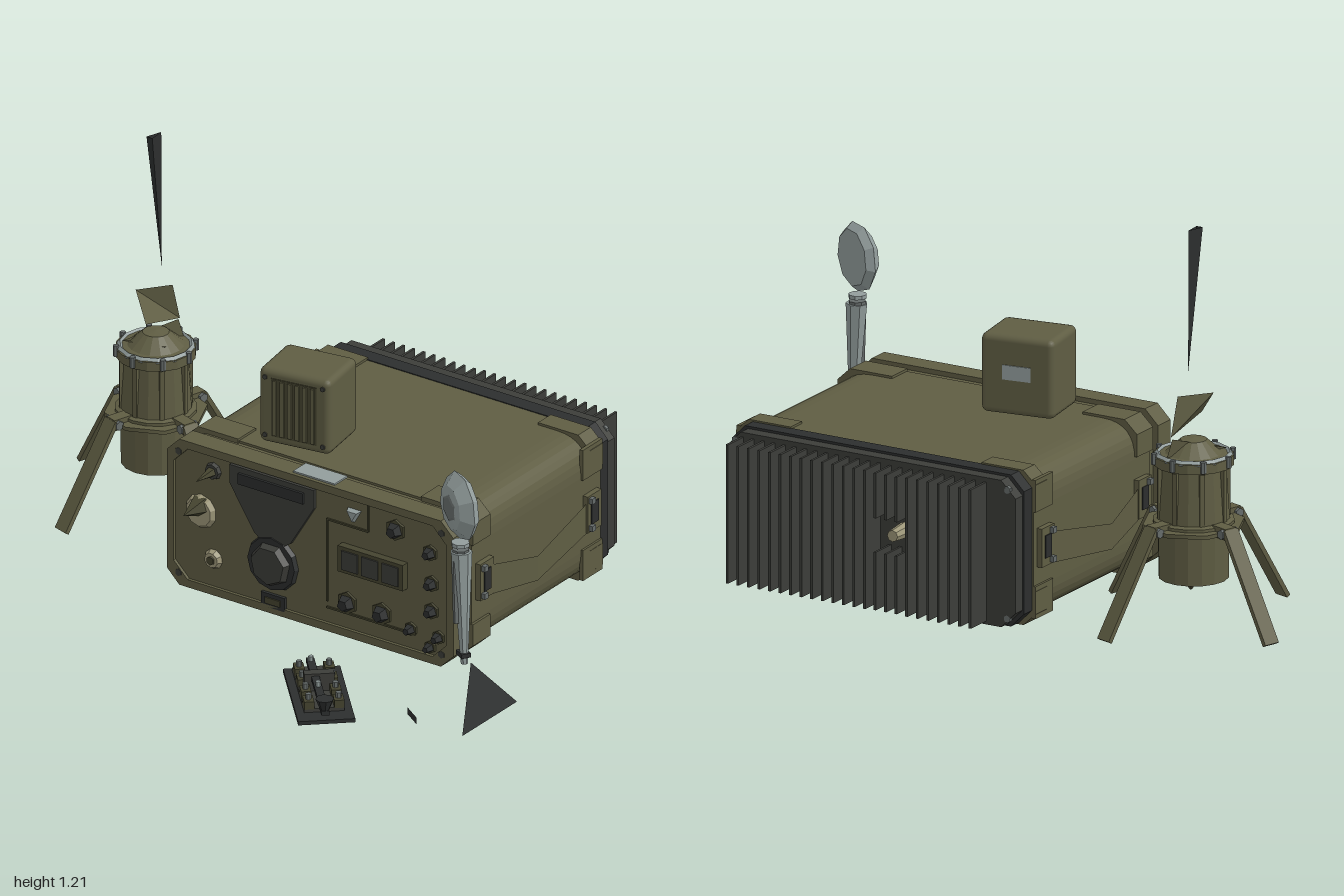
import * as THREE from 'three';
import { RoundedBoxGeometry } from 'three/addons/geometries/RoundedBoxGeometry.js';

const mat = (name, color, extra = {}) => {
  const m = new THREE.MeshStandardMaterial({ color, ...extra });
  m.name = name;
  return m;
};

export function createModel() {
  const flat = { flatShading: true };
  const M = {
    olive: mat('olive', 0x5f5d43),
    sheet: mat('olive sheet', 0x5f5d43, { side: THREE.DoubleSide, ...flat }),
    shade: mat('dark olive', 0x45442f, flat),
    fin: mat('fin grey', 0x3c3d39, flat),
    dark: mat('charcoal', 0x2c2e2e, { side: THREE.DoubleSide, ...flat }),
    steel: mat('light steel', 0x929d9c, flat),
    mid: mat('mid grey', 0x666c6b, flat),
    beige: mat('beige', 0x9d9779, flat),
  };
  const root = new THREE.Group();
  const group = (name, x = 0, y = 0, z = 0, ry = 0) => {
    const g = new THREE.Group();
    g.name = name;
    g.position.set(x, y, z);
    g.rotation.y = ry;
    root.add(g);
    return g;
  };
  const add = (parent, name, geo, m, x = 0, y = 0, z = 0) => {
    const mesh = new THREE.Mesh(geo, m);
    mesh.name = name;
    mesh.position.set(x, y, z);
    parent.add(mesh);
    return mesh;
  };
  const box = (p, name, m, w, h, d, x, y, z) => add(p, name, new THREE.BoxGeometry(w, h, d), m, x, y, z);
  const cyl = (p, name, m, rt, rb, h, n, x, y, z) => add(p, name, new THREE.CylinderGeometry(rt, rb, h, n), m, x, y, z);
  // cylinder whose axis points to +z, back end at z
  const plug = (p, name, m, rFront, rBack, d, n, x, y, z) => {
    const c = cyl(p, name, m, rFront, rBack, d, n, x, y, z + d / 2);
    c.rotation.x = Math.PI / 2;
    return c;
  };
  // chamfered or rounded rectangle, traced counter-clockwise
  const outline = (w, h, c, round = false, S = THREE.Shape) => {
    const s = new S(), a = w / 2, b = h / 2;
    const corner = (cx, cy, x, y) => (round ? s.quadraticCurveTo(cx, cy, x, y) : s.lineTo(x, y));
    s.moveTo(-a + c, -b);
    s.lineTo(a - c, -b); corner(a, -b, a, -b + c);
    s.lineTo(a, b - c); corner(a, b, a - c, b);
    s.lineTo(-a + c, b); corner(-a, b, -a, b - c);
    s.lineTo(-a, -b + c); corner(-a, -b, -a + c, -b);
    return s;
  };
  const extrude = (shape, depth) => new THREE.ExtrudeGeometry(shape, { depth, bevelEnabled: false, curveSegments: 8 });
  const poly = pts => new THREE.Shape(pts.map(p => new THREE.Vector2(...p)));
  // open sheet fanned from its first corner
  const sheet = (p, name, m, pts) => {
    const g = new THREE.BufferGeometry();
    g.setAttribute('position', new THREE.Float32BufferAttribute(pts.flat(), 3));
    const idx = [];
    for (let i = 1; i < pts.length - 1; i++) idx.push(0, i, i + 1);
    g.setIndex(idx);
    g.computeVertexNormals();
    return add(p, name, g, m);
  };

  // radio case
  const CX = 0.2, CY = 0.25;
  const radio = group('radio', CX, CY, 0);
  add(radio, 'case', extrude(outline(1.02, 0.465, 0.11, true), 0.66), M.olive, 0, 0, -0.575);
  add(radio, 'frontBezel', extrude(outline(1.0, 0.45, 0.05), 0.05), M.olive, 0, 0, 0.07);
  const rim = outline(1.035, 0.48, 0.045);
  add(radio, 'frontFrame', extrude(rim, 0.06), M.olive, 0, 0, 0.12);
  const lip = outline(1.035, 0.48, 0.045);
  lip.holes.push(outline(0.985, 0.43, 0.05, false, THREE.Path));
  add(radio, 'frontLip', extrude(lip, 0.01), M.olive, 0, 0, 0.18);
  box(radio, 'topPlate', M.steel, 0.15, 0.006, 0.065, 0.005, 0.242, 0.145);
  for (const sx of [-1, 1]) for (const sy of [-1, 1]) {
    // corner guards wrap the case edges front and back
    for (const [z, d] of [[-0.575, 0.065], [0.0, 0.09]]) {
      const pts = [[0.33, 0.225], [0.33, 0.24], [0.475, 0.24], [0.518, 0.2], [0.518, 0.13], [0.5, 0.13], [0.47, 0.19]];
      const s = poly(pts.map(([x, y]) => [x * sx, y * sy]));
      add(radio, 'cornerGuard', extrude(s, d), M.olive, 0, 0, z);
    }
    box(radio, 'guardPlate', M.olive, 0.012, 0.1, 0.1, sx * 0.511, sy * 0.165, -0.525);
    plug(radio, 'frameBolt', M.fin, 0.012, 0.012, 0.012, 6, sx * 0.475, sy * 0.2, 0.18);
    plug(radio, 'rearBolt', M.mid, 0.012, 0.012, 0.012, 6, sx * 0.47, sy * 0.2, -0.66);
  }
  for (const x of [-0.35, 0.35]) for (const z of [-0.14, -0.35])
    box(radio, 'foot', M.shade, 0.08, 0.02, 0.045, x, -0.24, z);

  // side straps with buckles
  for (const [s, bulge, mid] of [[-1, 0.06, -0.24], [1, 0.045, -0.18]]) {
    const x0 = s * 0.517, x1 = s * (0.517 + bulge);
    const ends = [0.03, -0.52];
    for (const z of ends) {
      sheet(radio, 'strap', M.sheet, [[x0, -0.06, z], [x1, -0.08, mid], [x1, 0.0, mid], [x0, 0.04, z]]);
      box(radio, 'buckle', M.olive, 0.025, 0.12, 0.07, s * 0.515, 0, z);
      box(radio, 'buckleSlot', M.dark, 0.01, 0.07, 0.035, s * 0.526, 0, z);
      for (const y of [-0.045, 0.045]) box(radio, 'buckleBolt', M.mid, 0.02, 0.018, 0.018, s * 0.53, y, z + 0.02);
    }
  }

  // rear heat sink
  add(radio, 'rearFrame', extrude(outline(1.01, 0.47, 0.045), 0.05), M.dark, 0, 0, -0.62);
  add(radio, 'rearPlate', extrude(outline(1.0, 0.455, 0.05), 0.04), M.fin, 0, 0, -0.66);
  for (let i = 0; i < 24; i++) {
    const x = -0.395 + i * 0.0365;
    if (i > 6 && i < 10) {
      for (const y of [-0.125, 0.14]) box(radio, 'fin', M.fin, 0.008, y < 0 ? 0.18 : 0.14, 0.095, x, y, -0.7);
    } else box(radio, 'fin', M.fin, 0.008, 0.43, 0.095, x, -0.002, -0.7);
  }
  plug(radio, 'rearValve', M.beige, 0.025, 0.018, 0.075, 8, -0.12, 0.02, -0.735);

  // front controls, placed in world x and y
  const panel = group('controls', 0, 0, 0.18);
  add(panel, 'dialHood', extrude(poly([[-0.09, 0.46], [-0.09, 0.4], [0.0, 0.26], [0.03, 0.24], [0.1, 0.24], [0.13, 0.26], [0.215, 0.4], [0.215, 0.46]]), 0.012), M.fin);
  box(panel, 'hoodSlot', M.dark, 0.235, 0.035, 0.02, 0.063, 0.425, 0.01);
  plug(panel, 'dialRing', M.dark, 0.085, 0.09, 0.015, 12, 0.062, 0.175, 0);
  plug(panel, 'dialKnob', M.fin, 0.06, 0.075, 0.03, 7, 0.062, 0.175, 0.005);
  box(panel, 'switchFrame', M.dark, 0.085, 0.045, 0.012, 0.065, 0.05, 0.004);
  box(panel, 'switchKey', M.shade, 0.055, 0.02, 0.012, 0.065, 0.05, 0.008);
  // raised sub panel edges
  const strip = (w, h, x, y) => box(panel, 'panelEdge', M.shade, w, h, 0.006, x, y, 0.002);
  strip(0.006, 0.27, 0.257, 0.24);
  strip(0.15, 0.006, 0.33, 0.375);
  strip(0.006, 0.09, 0.405, 0.42);
  strip(0.32, 0.006, 0.415, 0.085);
  // three display windows
  box(panel, 'displayFrame', M.shade, 0.235, 0.085, 0.03, 0.428, 0.27, 0.01);
  for (let i = 0; i < 3; i++) box(panel, 'displayWindow', M.fin, 0.058, 0.062, 0.008, 0.355 + i * 0.073, 0.27, 0.026);
  // antenna and cable sockets
  plug(panel, 'largeSocket', M.beige, 0.045, 0.055, 0.015, 10, -0.2, 0.27, 0);
  plug(panel, 'socketSpike', M.shade, 0.001, 0.035, 0.085, 5, -0.2, 0.29, 0.005);
  plug(panel, 'upperSocket', M.fin, 0.024, 0.028, 0.012, 8, -0.155, 0.415, 0);
  plug(panel, 'socketSpike', M.shade, 0.001, 0.018, 0.085, 5, -0.155, 0.415, 0.003);
  plug(panel, 'lowerSocket', M.beige, 0.024, 0.032, 0.015, 9, -0.155, 0.125, 0);
  plug(panel, 'lowerSocketCore', M.shade, 0.014, 0.014, 0.008, 6, -0.155, 0.125, 0.012);
  plug(panel, 'lampCover', M.steel, 0.02, 0.028, 0.018, 3, 0.355, 0.42, 0);
  // knobs
  const knobs = [[0.505, 0.41, 0.034], [0.33, 0.12, 0.036], [0.455, 0.12, 0.036], [0.63, 0.37, 0.026],
    [0.635, 0.27, 0.026], [0.635, 0.18, 0.026], [0.66, 0.1, 0.022], [0.56, 0.1, 0.022], [0.63, 0.06, 0.02]];
  for (const [x, y, r] of knobs) {
    plug(panel, 'knobBase', M.shade, r, r, 0.008, 6, x, y, 0);
    plug(panel, 'knob', M.dark, r * 0.5, r * 0.8, 0.026, 5, x, y, 0.006);
  }

  // speaker on the roof
  const speaker = group('speaker', 0.028, 0.612, -0.045, 0.15);
  add(speaker, 'speakerCase', new RoundedBoxGeometry(0.235, 0.245, 0.19, 2, 0.02), M.olive);
  box(speaker, 'grille', M.shade, 0.15, 0.19, 0.006, 0, 0, 0.094);
  for (let i = 0; i < 6; i++) box(speaker, 'slat', M.olive, 0.013, 0.18, 0.008, -0.0625 + i * 0.025, 0, 0.098);
  for (const x of [-0.095, 0.095]) for (const y of [-0.095, 0.095])
    plug(speaker, 'speakerBolt', M.fin, 0.008, 0.008, 0.006, 6, x, y, 0.093);
  box(speaker, 'backLabel', M.steel, 0.09, 0.045, 0.006, 0, 0.01, -0.095);

  // antenna mast base
  const mast = group('antennaBase', -0.66, 0, -0.24);
  const profile = [[0, 0.14], [0.08, 0.14], [0.085, 0.13], [0.105, 0.135], [0.107, 0.29], [0.122, 0.292],
    [0.122, 0.315], [0.108, 0.32], [0.098, 0.48], [0.12, 0.485], [0.12, 0.515], [0.085, 0.52], [0.04, 0.56], [0, 0.565]];
  add(mast, 'mastBody', new THREE.LatheGeometry(profile.map(p => new THREE.Vector2(...p)), 16), M.sheet);
  const ring = add(mast, 'topRing', new THREE.TorusGeometry(0.108, 0.012, 4, 14), M.steel, 0, 0.512, 0);
  ring.rotation.x = Math.PI / 2;
  cyl(mast, 'collar', M.olive, 0.155, 0.155, 0.012, 8, 0, 0.3, 0);
  cyl(mast, 'cablePlug', M.shade, 0.03, 0.004, 0.045, 5, 0.01, 0.115, 0);
  for (let i = 0; i < 8; i++) {
    const a = i * Math.PI / 4;
    cyl(mast, 'ringBolt', M.mid, 0.009, 0.009, 0.035, 6, Math.cos(a) * 0.12, 0.507, Math.sin(a) * 0.12);
    const rib = box(mast, 'rib', M.olive, 0.012, 0.16, 0.015, Math.cos(a) * 0.104, 0.4, Math.sin(a) * 0.104);
    rib.rotation.y = -a;
  }
  // four folding legs
  for (let i = 0; i < 4; i++) {
    const pivot = new THREE.Group();
    pivot.name = 'legAssembly';
    pivot.rotation.y = -0.31 + i * Math.PI / 2;
    mast.add(pivot);
    box(pivot, 'legLug', M.olive, 0.075, 0.035, 0.04, 0.13, 0.305, 0);
    cyl(pivot, 'legPin', M.mid, 0.015, 0.015, 0.06, 6, 0.155, 0.305, 0).rotation.x = Math.PI / 2;
    const len = Math.hypot(0.185, 0.31);
    const leg = box(pivot, 'leg', M.olive, 0.014, len, 0.052, 0.256, 0.161, 0);
    leg.rotation.z = Math.atan2(0.185, 0.31);
  }
  // spring remnants and whip
  const whip = group('whip');
  sheet(whip, 'springLower', M.sheet, [[-0.74, 0.53, -0.18], [-0.6, 0.54, -0.2], [-0.62, 0.51, -0.33], [-0.635, 0.575, -0.32]]);
  sheet(whip, 'springUpper', M.sheet, [[-0.705, 0.7, -0.2], [-0.635, 0.7, -0.29], [-0.63, 0.58, -0.32], [-0.64, 0.62, -0.16]]);
  const top = [[-0.673, 1.21, -0.21], [-0.652, 1.21, -0.21], [-0.655, 1.21, -0.26]], tip = [-0.653, 0.77, -0.26];
  for (let i = 0; i < 3; i++) sheet(whip, 'whipFace', M.dark, [top[i], top[(i + 1) % 3], tip]);

  // hand microphone
  const mic = group('microphone', 0.893, 0.69, 0.405, -0.52);
  const headPts = [[0, -0.022], [0.088, -0.022], [0.107, 0], [0.07, 0.032], [0.04, 0.036], [0, 0.03]];
  const head = add(mic, 'micHead', new THREE.LatheGeometry(headPts.map(p => new THREE.Vector2(...p)), 9), M.steel);
  head.rotation.x = Math.PI / 2;
  plug(mic, 'micGrille', M.mid, 0.035, 0.055, 0.008, 6, 0, 0, 0.031);
  cyl(mic, 'neckRing', M.steel, 0.028, 0.028, 0.012, 8, 0.004, -0.122, 0);
  cyl(mic, 'neckRing', M.mid, 0.026, 0.026, 0.01, 8, 0.006, -0.142, 0);
  const grip = cyl(mic, 'grip', M.steel, 0.033, 0.011, 0.36, 7, 0.02, -0.325, 0);
  grip.rotation.z = 0.06;
  box(mic, 'talkKey', M.mid, 0.014, 0.2, 0.012, 0.018, -0.27, 0.024).rotation.z = 0.06;
  box(mic, 'cableEnd', M.dark, 0.04, 0.014, 0.03, 0.025, -0.475, 0);

  // cable remnants
  const cable = group('cable');
  const apex = [0.915, 0.17, 0.38], base = [[0.99, 0.01, 0.25], [0.99, 0.01, 0.53], [0.955, 0.015, 0.4]];
  for (let i = 0; i < 3; i++) sheet(cable, 'cableFan', M.dark, [apex, base[i], base[(i + 1) % 3]]);
  sheet(cable, 'cableScrap', M.dark, [[0.785, 0.02, 0.52], [0.845, 0.02, 0.56], [0.845, 0.042, 0.56], [0.785, 0.042, 0.52]]);

  // telegraph key
  const key = group('telegraphKey', 0.485, 0, 0.547, -0.83);
  box(key, 'keyBase', M.dark, 0.355, 0.012, 0.17, 0, 0.006, 0);
  box(key, 'keyBed', M.fin, 0.28, 0.012, 0.12, -0.02, 0.018, 0);
  for (const x of [-0.12, -0.05, 0.03, 0.1]) for (const z of [-0.045, 0.045]) {
    box(key, 'terminalBlock', M.shade, 0.045, 0.025, 0.03, x, 0.035, z);
    cyl(key, 'terminalScrew', M.mid, 0.009, 0.009, 0.02, 6, x, 0.055, z);
  }
  box(key, 'pivotBridge', M.fin, 0.03, 0.06, 0.09, -0.01, 0.05, 0);
  box(key, 'lever', M.dark, 0.36, 0.014, 0.024, 0.06, 0.066, 0.012);
  cyl(key, 'leverKnob', M.dark, 0.028, 0.014, 0.035, 8, 0.225, 0.09, 0.012);
  for (const x of [-0.1, 0.07]) cyl(key, 'adjusterScrew', M.steel, 0.008, 0.008, 0.045, 6, x, 0.066, 0.012);
  return root;
}
